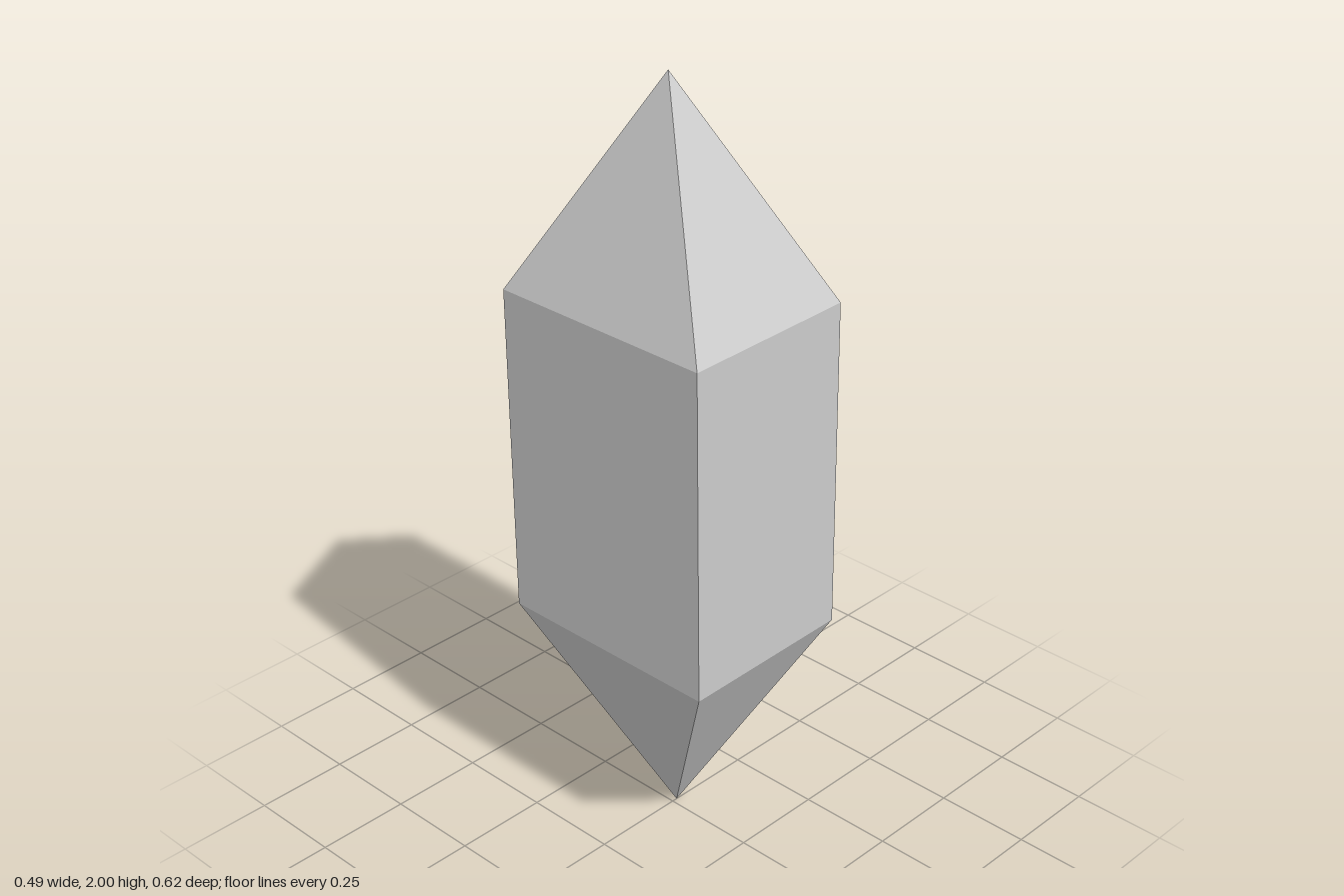
import * as THREE from 'three';

export function createModel() {
  const group = new THREE.Group();
  const material = new THREE.MeshStandardMaterial({ color: 0xcccccc, flatShading: true });

  // Four-sided profile: lower tip, straight shaft, upper tip, centred on mid-height
  const r = Math.SQRT2;
  const profile = [[0, -1], [r, -0.417], [r, 0.451], [0, 1]]
    .map(([x, y]) => new THREE.Vector2(x, y));
  const geometry = new THREE.LatheGeometry(profile, 4, Math.PI / 4);

  // Rectangular cross-section, deeper than wide
  geometry.scale(0.239, 1, 0.31);

  // Slight lean to the side
  geometry.rotateZ(0.0145);
  geometry.translate(0, 1, 0);

  const crystal = new THREE.Mesh(geometry, material);
  crystal.name = 'crystal';
  group.add(crystal);
  return group;
}
